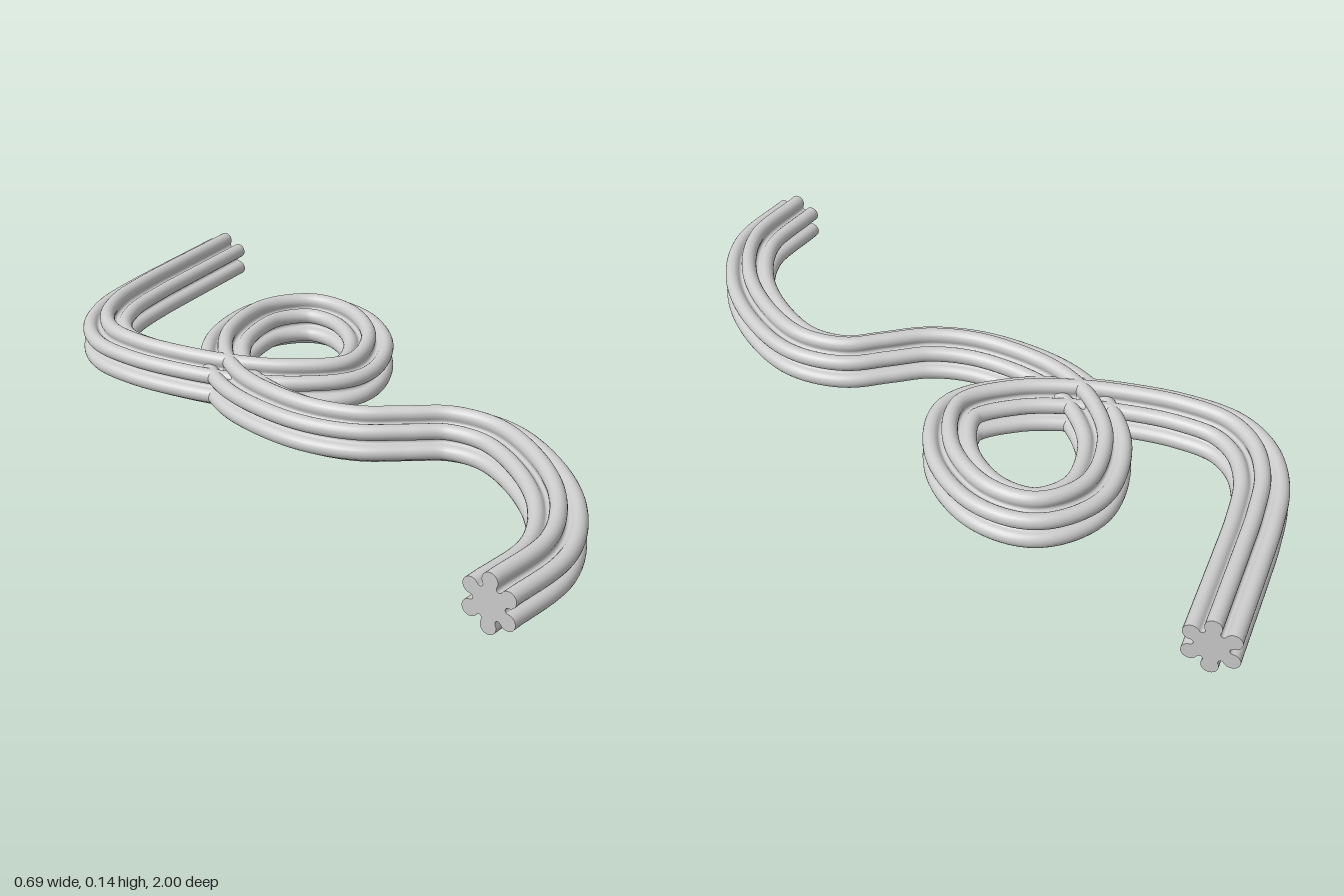
import * as THREE from 'three';

// Six rounded lobes joined by tangent rounded valleys
function fluteProfile() {
  const pts = [], rc = 0.0512, lobe = 0.0191;
  const valley = rc / 2 - lobe, vc = rc * Math.cos(Math.PI / 6);
  const arc = (cx, cy, r, a0, a1, n, skipEnds) => {
    for (let k = skipEnds; k <= n - skipEnds; k++) {
      const a = a0 + (a1 - a0) * k / n;
      pts.push(new THREE.Vector2(cx + r * Math.cos(a), cy + r * Math.sin(a)));
    }
  };
  for (let i = 0; i < 6; i++) {
    const a = Math.PI / 6 + i * Math.PI / 3, v = a + Math.PI / 6;
    arc(rc * Math.cos(a), rc * Math.sin(a), lobe, a - Math.PI * 2 / 3, a + Math.PI * 2 / 3, 14, 0);
    arc(vc * Math.cos(v), vc * Math.sin(v), valley, v + Math.PI * 1.5, v + Math.PI / 2, 6, 1);
  }
  return pts;
}

// Sweep a profile along a flat curve, keeping it upright
function sweep(curve, profile, steps, height) {
  const n = profile.length, pos = [], idx = [];
  const ring = (t) => {
    const p = curve.getPointAt(t), d = curve.getTangentAt(t);
    for (const q of profile) pos.push(p.x + d.z * q.x, height + q.y, p.z - d.x * q.x);
  };
  for (let i = 0; i <= steps; i++) ring(i / steps);
  for (let i = 0; i < steps; i++) {
    for (let j = 0; j < n; j++) {
      const a = i * n + j, b = i * n + (j + 1) % n;
      idx.push(a, b, a + n, b, b + n, a + n);
    }
  }
  // flat end caps with their own vertices
  const faces = THREE.ShapeUtils.triangulateShape(profile, []);
  for (const t of [0, 1]) {
    const base = pos.length / 3;
    ring(t);
    for (const [a, b, c] of faces) {
      if (t) idx.push(base + a, base + b, base + c);
      else idx.push(base + a, base + c, base + b);
    }
  }
  const geo = new THREE.BufferGeometry();
  geo.setAttribute('position', new THREE.Float32BufferAttribute(pos, 3));
  geo.setIndex(idx);
  geo.computeVertexNormals();
  return geo;
}

export function createModel() {
  const group = new THREE.Group();
  group.name = 'flutedRibbon';

  // Centre line as [x, z]: straight tail, bend, loop, S-curve, front arc
  const path = [
    [0.32, -0.943], [0.2, -0.896], [0.08, -0.849], [-0.04, -0.80],
    [-0.16, -0.738], [-0.245, -0.655], [-0.281, -0.56], [-0.264, -0.445], [-0.217, -0.33],
    [-0.15, -0.215], [-0.05, -0.105], [0.08, -0.045], [0.215, -0.14],
    [0.276, -0.30], [0.242, -0.415], [0.125, -0.46], [-0.035, -0.39],
    [-0.13, -0.275], [-0.17, -0.17], [-0.177, -0.06], [-0.145, 0.095],
    [-0.08, 0.20], [0.01, 0.268], [0.09, 0.33], [0.131, 0.44],
    [0.10, 0.60], [0.01, 0.765], [-0.13, 0.885], [-0.33, 0.934],
  ].map(([x, z]) => new THREE.Vector3(x, 0, z));
  const curve = new THREE.CatmullRomCurve3(path, false, 'centripetal');
  curve.arcLengthDivisions = 800;

  const mesh = new THREE.Mesh(
    sweep(curve, fluteProfile(), 260, 0.0703),
    new THREE.MeshStandardMaterial({ color: 0xcccccc })
  );
  mesh.name = 'flutedTube';
  group.add(mesh);
  return group;
}
